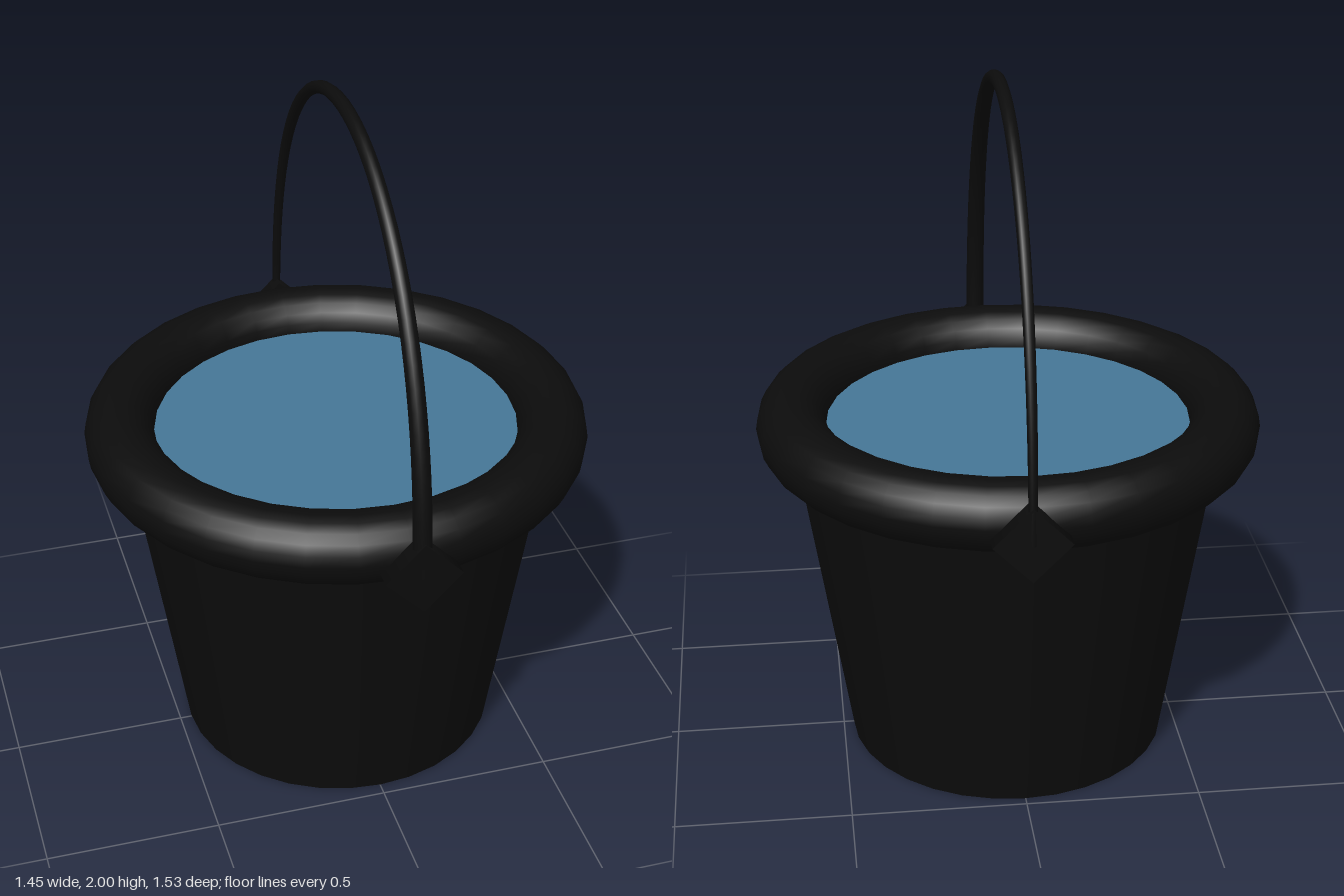
import * as THREE from 'three';

export function createModel() {
  const group = new THREE.Group();
  const black = new THREE.MeshStandardMaterial({ name: 'black', color: 0x0c0c0c });
  const blue = new THREE.MeshStandardMaterial({ name: 'waterBlue', color: 0x467797 });

  const add = (name, geometry, material, x = 0, y = 0, z = 0) => {
    const mesh = new THREE.Mesh(geometry, material);
    mesh.name = name;
    mesh.position.set(x, y, z);
    group.add(mesh);
    return mesh;
  };

  // Tapered bucket wall with closed bottom, its top hidden inside the rim
  add('body', new THREE.CylinderGeometry(0.624, 0.467, 0.99, 32), black, 0.002, 0.495, -0.005);

  // Thick rolled rim
  add('rim', new THREE.TorusGeometry(0.624, 0.1, 20, 32).rotateX(Math.PI / 2), black, -0.003, 0.99, 0.002);

  // Water surface, just above the closed top of the body
  add('water', new THREE.CircleGeometry(0.56, 32).rotateX(-Math.PI / 2), blue, 0, 0.993, 0);

  // Diamond-shaped lugs at front and back
  const handleX = 0.018;
  for (const [name, z] of [['frontLug', 0.744], ['backLug', -0.735]]) {
    const lug = new THREE.CylinderGeometry(0.107, 0.107, 0.052, 4).rotateX(Math.PI / 2);
    add(name, lug, black, handleX, 0.965, z);
  }

  // Arched handle, thick at the front and tapering towards the back
  const arch = new THREE.CubicBezierCurve3(
    new THREE.Vector3(handleX, 0.965, 0.744),
    new THREE.Vector3(handleX, 2.315, 0.744),
    new THREE.Vector3(handleX, 2.315, -0.752),
    new THREE.Vector3(handleX, 0.965, -0.752)
  );
  const steps = 48, sides = 10;
  const handle = new THREE.TubeGeometry(arch, steps, 1, sides);
  const pos = handle.attributes.position;
  const p = new THREE.Vector3();
  for (let i = 0; i < pos.count; i++) {
    const t = Math.floor(i / (sides + 1)) / steps;
    const centre = arch.getPointAt(t);
    p.fromBufferAttribute(pos, i).sub(centre).multiplyScalar(0.028 - 0.016 * t).add(centre);
    pos.setXYZ(i, p.x, p.y, p.z);
  }
  add('handle', handle, black);

  return group;
}
